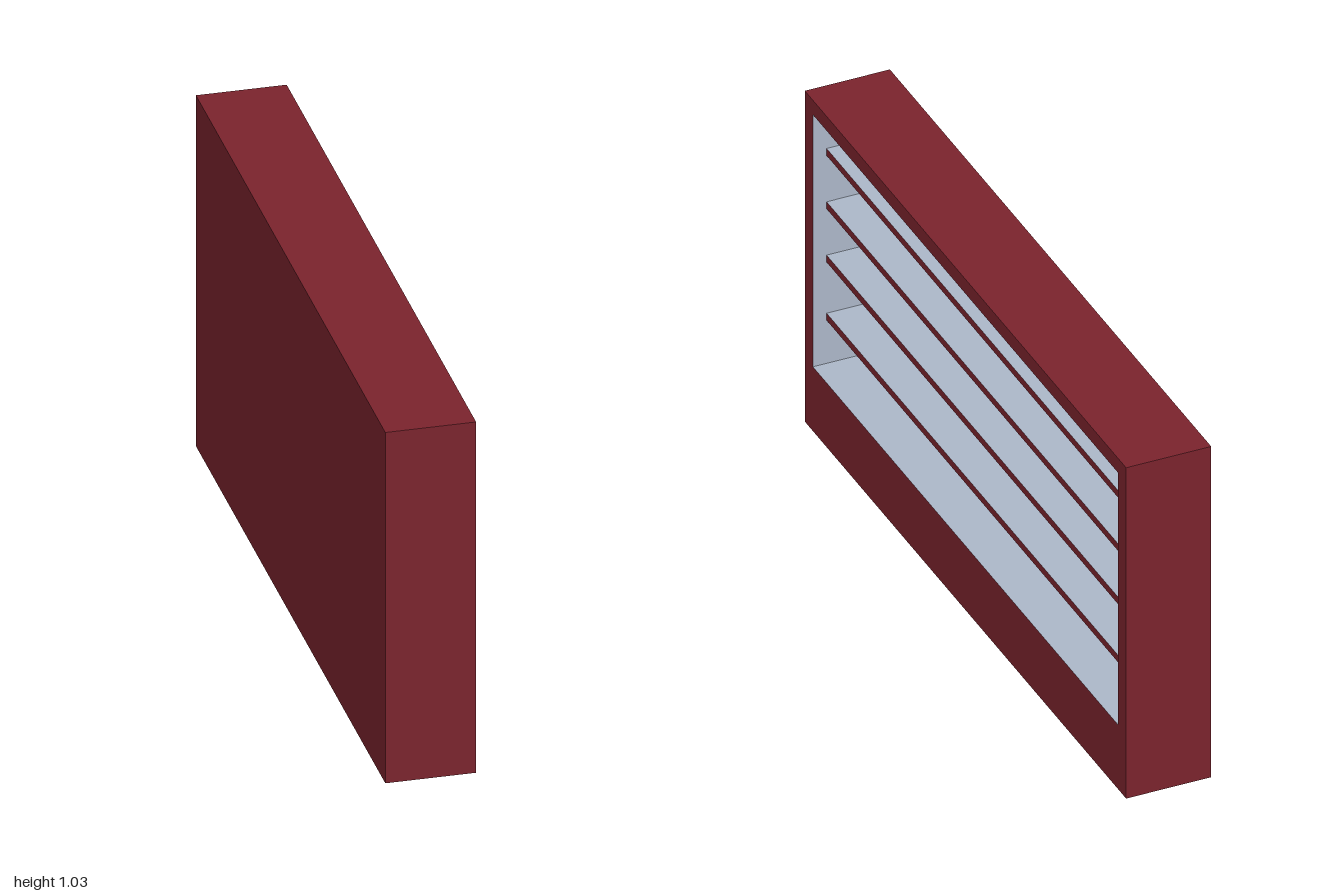
import * as THREE from 'three';

const W = 0.245, H = 1.03, L = 2;          // case depth, height, length
const LOW = 0.2, HIGH = 0.985, END = 0.95; // opening limits
const BACK = -0.0725, LIP = 0.083;         // cavity back and shelf front in x

export function createModel() {
  const red = new THREE.MeshStandardMaterial({ color: 0x7a232d });
  red.name = 'dark red';
  const grey = new THREE.MeshStandardMaterial({ color: 0xacb7c8 });
  grey.name = 'pale blue grey';

  const group = new THREE.Group();
  group.name = 'shelfCase';

  // Box given by its limits; greyFaces lists faces in the order +x -x +y -y +z -z
  function box(name, [x0, x1], [y0, y1], [z0, z1], greyFaces) {
    const materials = Array.from({ length: 6 }, (_, i) => (greyFaces.includes(i) ? grey : red));
    const mesh = new THREE.Mesh(new THREE.BoxGeometry(x1 - x0, y1 - y0, z1 - z0), materials);
    mesh.position.set((x0 + x1) / 2, (y0 + y1) / 2, (z0 + z1) / 2);
    mesh.name = name;
    group.add(mesh);
  }

  // Outer case with a grey lined cavity open towards +x
  const depth = [-W / 2, W / 2];
  box('base', depth, [0, LOW], [-L / 2, L / 2], [2]);
  box('topRail', depth, [HIGH, H], [-L / 2, L / 2], [3]);
  box('frontEnd', depth, [LOW, HIGH], [END, L / 2], [5]);
  box('rearEnd', depth, [LOW, HIGH], [-L / 2, -END], [4]);
  box('backPanel', [-W / 2, BACK], [LOW, HIGH], [-END, END], [0]);

  // Shelves: grey above and below, red front edge
  [0.345, 0.526, 0.692, 0.858].forEach((y, i) => {
    box(`shelf${i + 1}`, [BACK, LIP], [y - 0.011, y + 0.011], [-END, END], [2, 3]);
  });

  return group;
}
